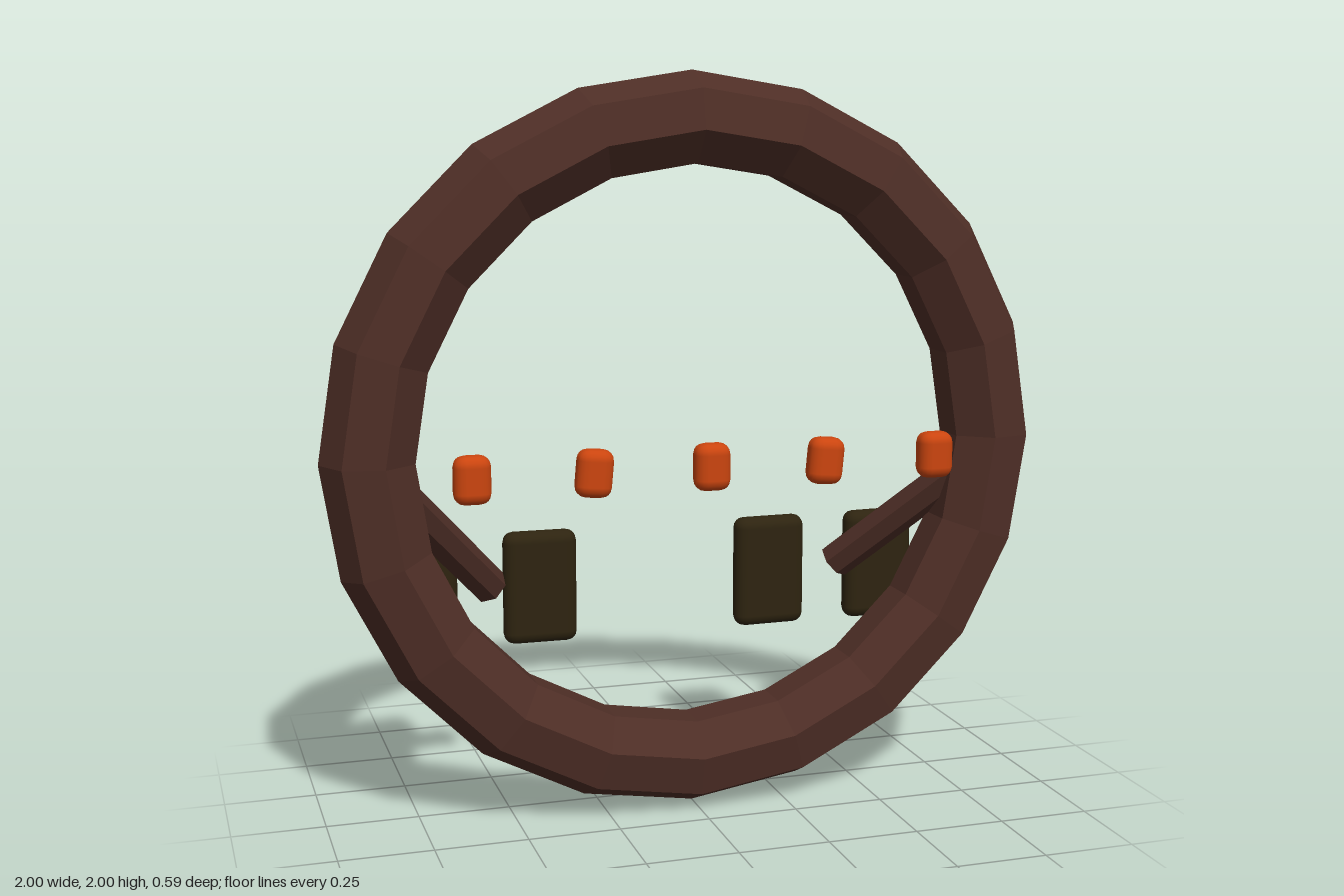
import * as THREE from 'three';
import { RoundedBoxGeometry } from 'three/addons/geometries/RoundedBoxGeometry.js';

export function createModel() {
  const model = new THREE.Group();

  const material = (name, color, flatShading = false) => {
    const m = new THREE.MeshStandardMaterial({ color, flatShading });
    m.name = name;
    return m;
  };
  const brown = material('dark brown', 0x4e2e26, true);
  const olive = material('dark olive', 0x2e2410);
  const orange = material('burnt orange', 0xcb450f);

  const add = (name, geometry, mat, x, y, z) => {
    const mesh = new THREE.Mesh(geometry, mat);
    mesh.name = name;
    mesh.position.set(x, y, z);
    model.add(mesh);
    return mesh;
  };

  // Faceted ring; turned so that a corner points straight up
  const ring = add('ring', new THREE.TorusGeometry(0.873, 0.127, 7, 20), brown, 0, 1.002, 0.088);
  ring.rotation.z = Math.PI / 2;

  // Slanting rods from the ring's inner sides down and back
  for (const side of [-1, 1]) {
    const start = new THREE.Vector3(side * 0.8, 0.915, 0.115);
    const end = new THREE.Vector3(side * 0.515, 0.595, -0.15);
    const mid = start.clone().lerp(end, 0.5);
    const axis = start.clone().sub(end);
    const rod = add(side > 0 ? 'leftRod' : 'rightRod',
      new THREE.CylinderGeometry(0.052, 0.052, axis.length(), 7), brown, mid.x, mid.y, mid.z);
    rod.quaternion.setFromUnitVectors(new THREE.Vector3(0, 1, 0), axis.normalize());
  }

  // Row of small studs in front, every second one tilted
  const studGeometry = new RoundedBoxGeometry(0.097, 0.127, 0.07, 2, 0.03);
  for (let i = 0; i < 5; i++) {
    const stud = add('stud' + (i + 1), studGeometry, orange, (i - 2) * 0.318, 0.976, 0.262);
    stud.rotation.z = i % 2 ? -0.09 : 0;
  }

  // Upright plates behind, two on each side, turned slightly
  const plateGeometry = new RoundedBoxGeometry(0.213, 0.327, 0.07, 2, 0.032);
  for (const side of [-1, 1]) {
    [[0.347, 0.02, 'Inner'], [0.693, 0.04, 'Outer']].forEach(([x, turn, place]) => {
      const plate = add((side > 0 ? 'left' : 'right') + place + 'Plate',
        plateGeometry, olive, side * x, 0.555, -0.26);
      plate.rotation.y = side * turn;
    });
  }

  return model;
}
